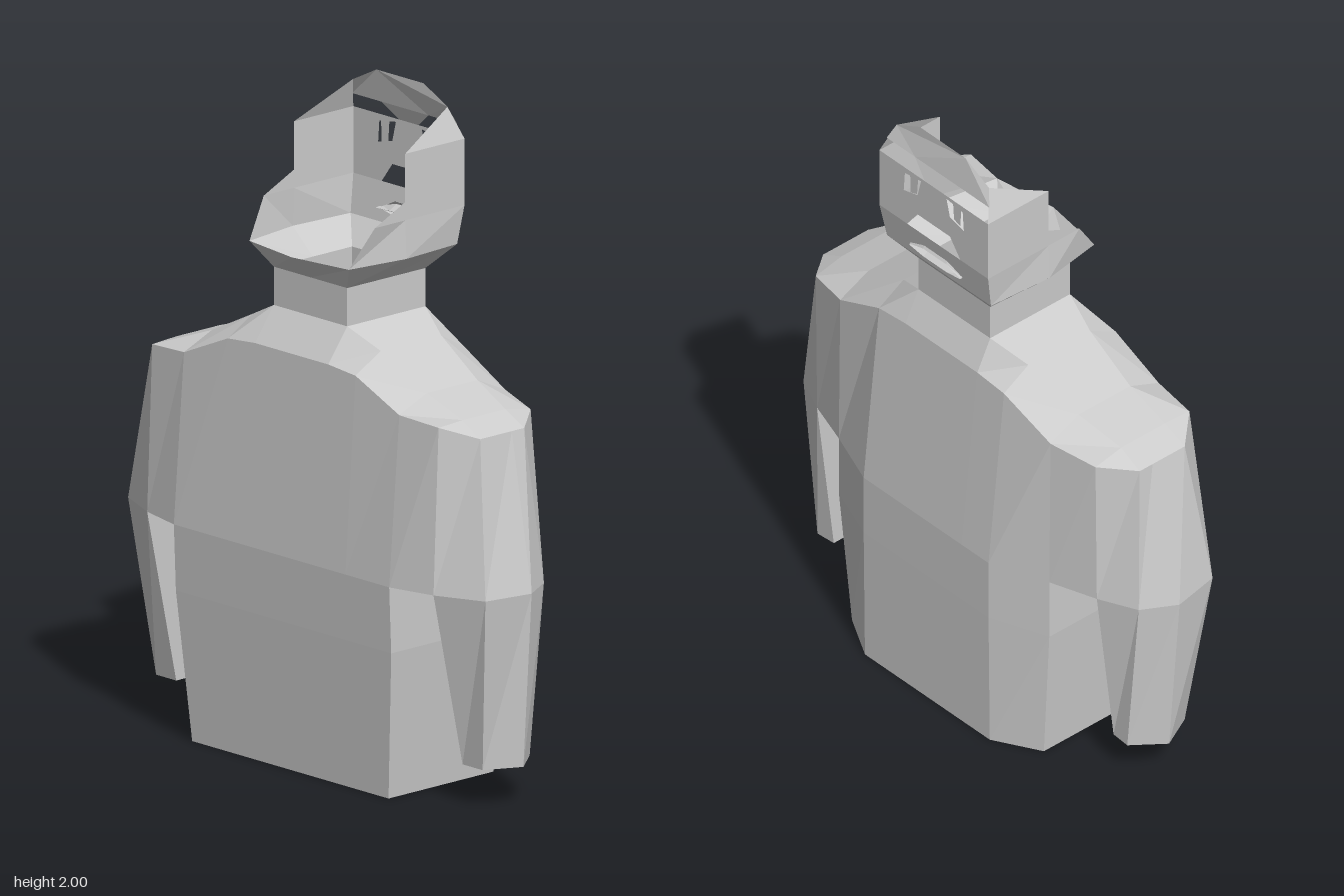
import * as THREE from 'three';

const grey = new THREE.MeshStandardMaterial({ color: 0xcccccc, flatShading: true, side: THREE.DoubleSide });

// Faceted skin over rows of [x, y, z] points; skip(i, j) leaves a cell open
function skin(name, rows, skip = () => false) {
  const pos = [];
  for (let i = 0; i < rows.length - 1; i++) {
    for (let j = 0; j < rows[i].length - 1; j++) {
      if (skip(i, j)) continue;
      const a = rows[i][j], b = rows[i][j + 1], c = rows[i + 1][j + 1], d = rows[i + 1][j];
      pos.push(...a, ...b, ...c, ...a, ...c, ...d);
    }
  }
  const geo = new THREE.BufferGeometry();
  geo.setAttribute('position', new THREE.Float32BufferAttribute(pos, 3));
  geo.computeVertexNormals();
  const mesh = new THREE.Mesh(geo, grey);
  mesh.name = name;
  return mesh;
}

// The same skin on both sides of the body
const flip = row => row.map(([x, y, z]) => [x, y, -z]).reverse();
function pair(group, name, rows) {
  group.add(skin('left' + name, rows), skin('right' + name, rows.map(flip)));
}

const ring = (y, pts) => pts.map(([x, z]) => [x, y, z]);
const section = (z, pts) => pts.map(([x, y]) => [x, y, z]);

// Plate facing +x, outlined in (z, y), with holes; depth(y) sets its x
function plate(name, outline, holes, depth) {
  const vec = pts => pts.map(([z, y]) => new THREE.Vector2(-z, y));
  const shape = new THREE.Shape(vec(outline));
  shape.holes = holes.map(h => new THREE.Path(vec(h)));
  const geo = new THREE.ShapeGeometry(shape).toNonIndexed();
  const p = geo.attributes.position;
  for (let i = 0; i < p.count; i++) {
    const u = p.getX(i), v = p.getY(i);
    p.setXYZ(i, depth(v), v, -u);
  }
  geo.computeVertexNormals();
  const mesh = new THREE.Mesh(geo, grey);
  mesh.name = name;
  return mesh;
}

const mirrorZ = pts => pts.map(([z, y]) => [-z, y]);

function buildBody() {
  const body = new THREE.Group();
  body.name = 'body';

  // Lower torso, open underneath
  const waist = (y, back, front, corner, w) => ring(y, [
    [front, 0.27], [front, -0.27], [corner, -w], [back, -w], [back, w], [corner, w], [front, 0.27]]);
  body.add(skin('lowerTorso', [
    waist(0, -0.235, 0.26, 0.18, 0.415),
    waist(0.45, -0.262, 0.265, 0.195, 0.455),
    waist(0.65, -0.27, 0.265, 0.195, 0.455)]));

  // Chest and shoulders: sections from the neck outwards
  const half = [
    section(0.155, [[-0.27, 0.65], [-0.23, 1.25], [-0.155, 1.35], [0.155, 1.35], [0.205, 1.25], [0.265, 0.65]]),
    section(0.27, [[-0.27, 0.65], [-0.23, 1.24], [-0.13, 1.295], [0.11, 1.295], [0.205, 1.24], [0.265, 0.65]]),
    section(0.455, [[-0.27, 0.65], [-0.23, 1.16], [-0.12, 1.205], [0.08, 1.205], [0.19, 1.155], [0.195, 0.65]]),
    section(0.605, [[-0.235, 0.65], [-0.215, 1.15], [-0.12, 1.155], [0.05, 1.155], [0.15, 1.135], [0.145, 0.65]])];
  const other = half.map(r => r.map(([x, y, z]) => [x, y, -z])).reverse();
  body.add(skin('chest', [...other, ...half], (i, j) => i === 3 && j === 2));

  // Armpits
  pair(body, 'Armpit', [
    ring(0.65, [[-0.27, 0.455], [0.195, 0.455]]),
    ring(0.65, [[-0.235, 0.605], [0.145, 0.605]])]);

  // Shoulder caps and arms
  const shoulder = [[-0.215, 1.15, 0.605], [-0.125, 1.115, 0.685], [0, 1.115, 0.685], [0.05, 1.115, 0.685], [0.15, 1.135, 0.605]];
  const elbow = ring(0.65, [[-0.235, 0.605], [-0.17, 0.755], [-0.015, 0.785], [0.09, 0.725], [0.145, 0.605]]);
  const wrist = ring(0.12, [[-0.12, 0.605], [-0.12, 0.69], [-0.01, 0.745], [0.085, 0.67], [0.08, 0.605]]);
  const close = r => [...r, r[0]];
  pair(body, 'ShoulderCap', [shoulder,
    section(0.605, [[-0.215, 1.15], [-0.12, 1.155], [-0.03, 1.155], [0.05, 1.155], [0.15, 1.135]])]);
  pair(body, 'UpperArm', [elbow, shoulder]);
  pair(body, 'Forearm', [close(wrist), close(elbow)]);
  pair(body, 'ArmEnd', [wrist.map(() => [-0.02, 0.12, 0.66]), wrist].map(close).reverse());
  return body;
}

function buildHead() {
  const head = new THREE.Group();
  head.name = 'head';

  // Square neck, open at both ends
  const square = y => ring(y, [[0.155, 0.155], [0.155, -0.155], [-0.155, -0.155], [-0.155, 0.155], [0.155, 0.155]]);
  head.add(skin('neck', [square(1.35), square(1.465)]));

  // Underside of jaw and back of skull
  head.add(skin('jaw', [
    ring(1.465, [[0.155, 0.155], [0.155, -0.155], [0, -0.155], [-0.155, -0.155], [-0.155, 0],
      [-0.155, 0.155], [0, 0.155], [0.155, 0.155]]),
    ring(1.54, [[0.215, 0.225], [0.215, -0.225], [0, -0.24], [-0.2, -0.21], [-0.23, 0],
      [-0.2, 0.21], [0, 0.24], [0.215, 0.225]])]));

  // Cheeks, sides and temples
  pair(head, 'Cheek', [
    ring(1.54, [[-0.2, 0.21], [0, 0.24], [0.215, 0.225]]),
    ring(1.655, [[-0.12, 0.235], [0, 0.235], [0.235, 0.235]])]);
  pair(head, 'Side', [
    section(0.235, [[-0.12, 1.655], [0, 1.655], [0.235, 1.655]]),
    section(0.235, [[0, 1.71], [0, 1.71], [0.235, 1.71]]),
    section(0.235, [[0, 1.855], [0, 1.855], [0.235, 1.855]])]);
  pair(head, 'Temple', [
    section(0.235, [[0, 1.855], [0.235, 1.855]]),
    [[0.2, 1.95, 0.2], [0.2, 1.95, 0.2]]]);

  // Face with eye holes and a nose opening
  const eye = [[0.055, 1.845], [0.125, 1.835], [0.13, 1.77], [0.07, 1.785]];
  head.add(plate('face', [
    [0.235, 1.655], [0.235, 1.855], [-0.235, 1.855], [-0.235, 1.655],
    [-0.115, 1.655], [-0.07, 1.715], [0.07, 1.715], [0.115, 1.655]],
  [eye, mirrorZ(eye)], () => 0.235));
  const pupil = [[0.075, 1.845], [0.11, 1.84], [0.108, 1.77], [0.08, 1.78]];
  head.add(plate('leftEye', pupil, [], () => 0.228));
  head.add(plate('rightEye', mirrorZ(pupil), [], () => 0.228));

  // Lower face around the mouth
  const slope = y => 0.215 + 0.02 * (y - 1.54) / 0.115;
  head.add(plate('lowerFace', [[0.225, 1.54], [0.235, 1.655], [-0.235, 1.655], [-0.225, 1.54]],
    [[[0.11, 1.58], [0.05, 1.608], [-0.05, 1.608], [-0.11, 1.58], [-0.05, 1.566], [0.05, 1.566]]], slope));

  // Lips folding in to a closed mouth line
  const lip = (x, y, yc) => [[x, y, 0.11], [x, yc, 0.05], [x, yc, -0.05], [x, y, -0.11]];
  head.add(skin('lips', [
    lip(0.22, 1.58, 1.566), lip(0.232, 1.58, 1.572), lip(0.205, 1.582, 1.584),
    lip(0.232, 1.584, 1.6), lip(0.226, 1.585, 1.608)]));

  // Forehead, notched below for the open brows
  head.add(plate('forehead', [
    [-0.1, 2], [0.1, 2], [0.2, 1.95], [0.222, 1.9], [0.1, 1.9], [0.04, 1.855],
    [-0.04, 1.855], [-0.1, 1.9], [-0.222, 1.9], [-0.2, 1.95]], [],
  y => y >= 1.95 ? 0.2 : 0.2 + 0.035 * (1.95 - y) / 0.095));
  return head;
}

export function createModel() {
  const model = new THREE.Group();
  model.name = 'bust';
  model.add(buildBody(), buildHead());
  return model;
}
